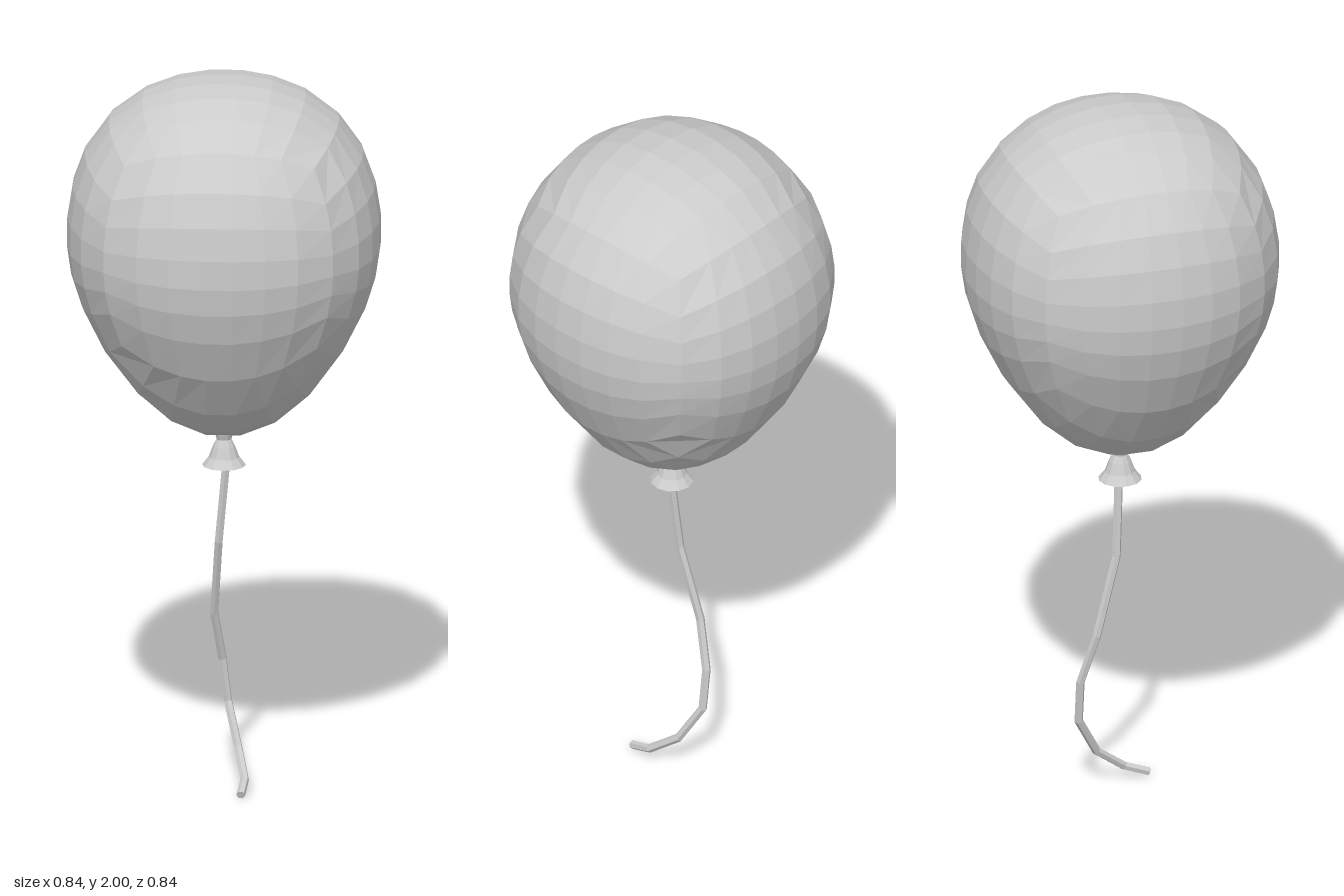
import * as THREE from 'three';

const material = new THREE.MeshStandardMaterial({
  color: 0xcccccc, flatShading: true, side: THREE.DoubleSide,
});

function add(group, name, geometry) {
  const mesh = new THREE.Mesh(geometry, material);
  mesh.name = name;
  group.add(mesh);
  return mesh;
}

// Inflated cube: round on top, tapering to a point below
function balloonGeometry() {
  const geometry = new THREE.BoxGeometry(2, 2, 2, 7, 7, 7);
  const pos = geometry.attributes.position;
  const v = new THREE.Vector3();
  const spread = (t) => Math.tan((Math.PI / 4) * t * (0.92 + 0.08 * t ** 4));
  for (let i = 0; i < pos.count; i++) {
    v.fromBufferAttribute(pos, i);
    v.set(spread(v.x), spread(v.y), spread(v.z)).normalize();
    // slightly fuller towards the edges of the cube
    v.multiplyScalar(1 + 0.07 * (1 - v.x ** 4 - v.y ** 4 - v.z ** 4));
    const n = Math.abs(v.y);
    const below = v.y < 0;
    const radius = 0.423 * (below ? 1 + 0.08 * n * n : 1);
    const y = below ? 1.57 - 0.36 * n - 0.21 * n ** 4 : 1.57 + 0.43 * n;
    pos.setXYZ(i, v.x * radius, y, v.z * radius);
  }
  geometry.computeVertexNormals();
  return geometry;
}

// Flared neck with a recessed underside
function neckGeometry() {
  const profile = [
    [0, 0.935], [0.035, 0.93], [0.042, 0.912], [0.059, 0.912],
    [0.041, 0.935], [0.03, 0.965], [0.02, 0.985], [0.026, 1.005], [0, 1.02],
  ];
  return new THREE.LatheGeometry(profile.map(([r, y]) => new THREE.Vector2(r, y)), 12);
}

// String with one straight segment between each pair of points
function stringGeometry() {
  const points = [
    [0.008, 0.94, 0], [-0.015, 0.69, -0.015], [-0.03, 0.47, -0.075],
    [-0.01, 0.33, -0.115], [0.005, 0.21, -0.115], [0.035, 0.1, -0.055],
    [0.057, 0.035, 0.03], [0.05, 0.012, 0.097],
  ].map((p) => new THREE.Vector3(...p));
  const curve = new THREE.CatmullRomCurve3(points);
  curve.getPointAt = curve.getPoint;
  curve.getTangentAt = curve.getTangent;
  return new THREE.TubeGeometry(curve, points.length - 1, 0.012, 6, false);
}

export function createModel() {
  const model = new THREE.Group();
  model.name = 'balloon';
  add(model, 'balloonBody', balloonGeometry());
  add(model, 'neck', neckGeometry());
  add(model, 'string', stringGeometry());

  // Cap on the loose end of the string
  const cap = add(model, 'stringEnd', new THREE.CircleGeometry(0.012, 6));
  cap.position.set(0.05, 0.012, 0.097);
  cap.rotation.x = 0.33;
  return model;
}
